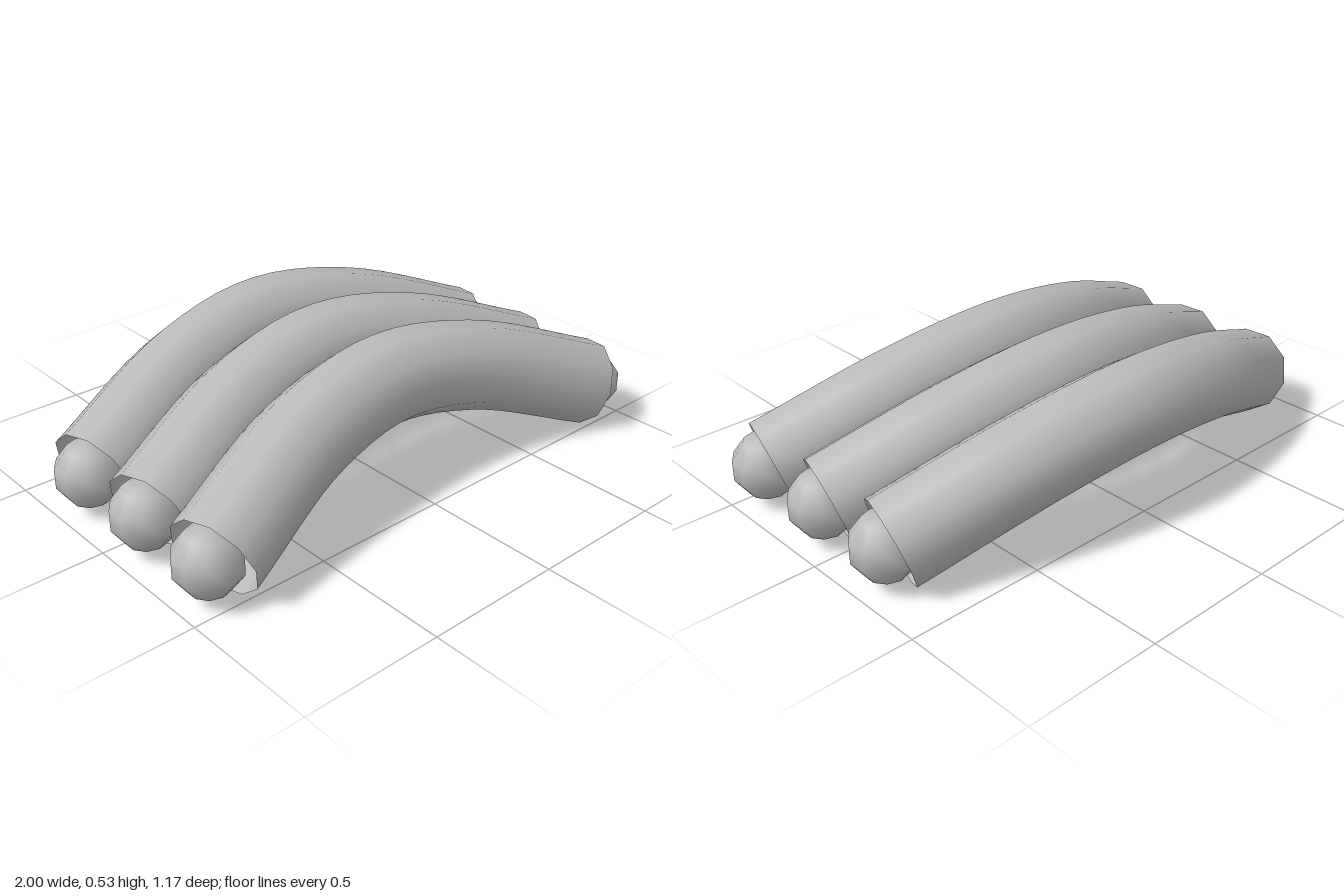
import * as THREE from 'three';

export function createModel() {
  const model = new THREE.Group();
  const grey = new THREE.MeshStandardMaterial({ color: 0xbbbbbb, side: THREE.DoubleSide });
  grey.name = 'plain grey';

  // Arched centre line, leaning backwards as it rises
  const path = new THREE.CatmullRomCurve3([
    [-0.87, 0.146, 0.428],
    [-0.4, 0.317, 0.292],
    [0, 0.375, 0.245],
    [0.4, 0.317, 0.292],
    [0.87, 0.146, 0.428],
  ].map((p) => new THREE.Vector3(...p)));

  // Open ten-sided tube and the ball that sits in each end
  const tubeGeometry = new THREE.TubeGeometry(path, 24, 0.161, 10, false);
  const ballGeometry = new THREE.SphereGeometry(0.12, 10, 5).rotateY(Math.PI / 2);

  // Three identical curved tubes, one behind the other
  for (let i = 0; i < 3; i++) {
    const finger = new THREE.Group();
    finger.name = 'curvedSegment' + (i + 1);
    finger.position.z = -0.333 * i;

    const tube = new THREE.Mesh(tubeGeometry, grey);
    tube.name = 'tube';
    finger.add(tube);

    for (const side of [-1, 1]) {
      const ball = new THREE.Mesh(ballGeometry, grey);
      ball.name = side > 0 ? 'leftEndBall' : 'rightEndBall';
      ball.position.set(side * 0.889, 0.147, 0.428);
      finger.add(ball);
    }
    model.add(finger);
  }
  return model;
}
